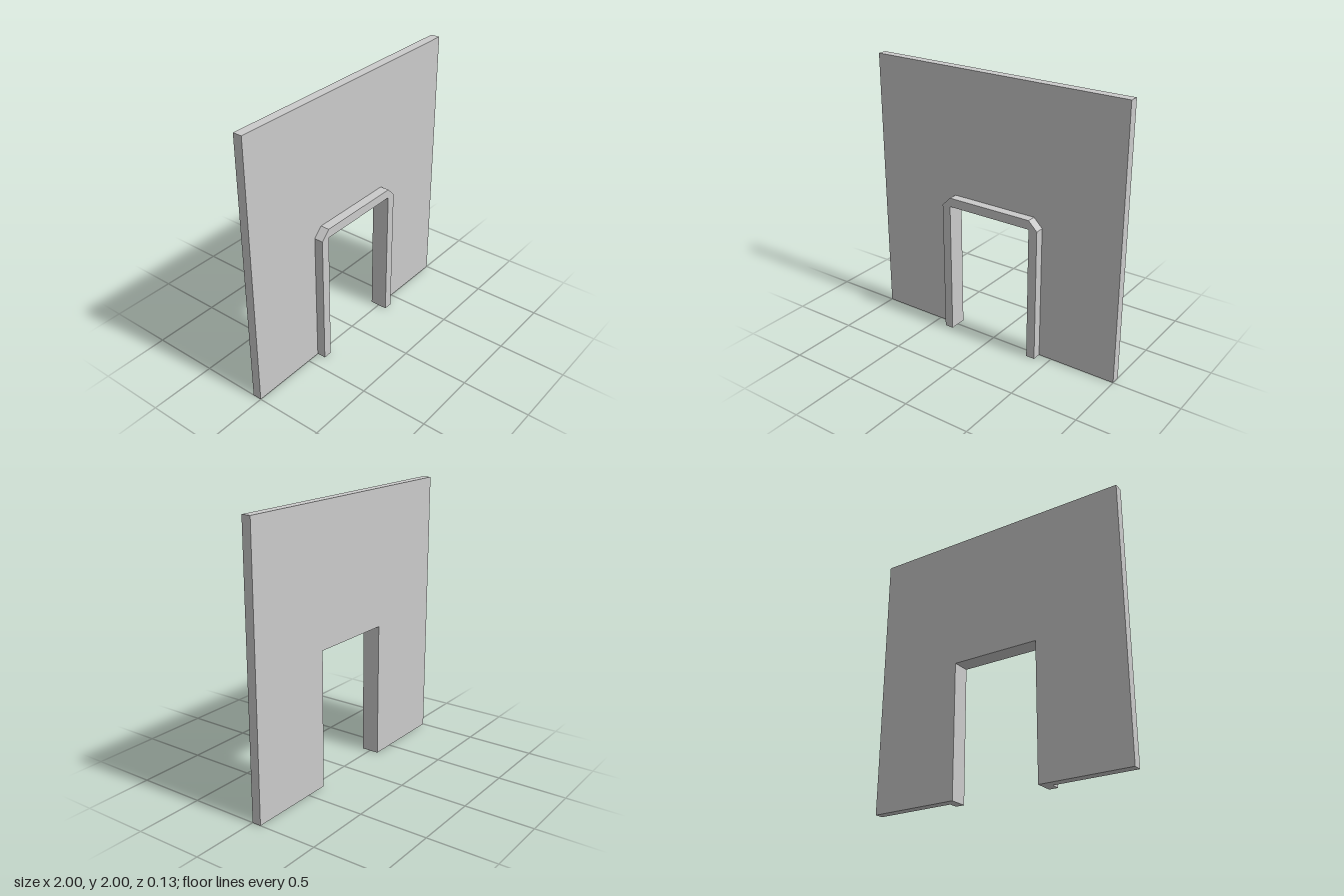
import * as THREE from 'three';

const T = 0.0667; // wall thickness, also trim width and depth
const W = 0.3333; // half width of the doorway
const H = 1.0;    // height of the doorway

// Extrudes an outline of [x, y] points from z to z + T
function slab(name, points, z) {
  const shape = new THREE.Shape(points.map(([x, y]) => new THREE.Vector2(x, y)));
  const geometry = new THREE.ExtrudeGeometry(shape, { depth: T, bevelEnabled: false });
  const mesh = new THREE.Mesh(geometry, new THREE.MeshStandardMaterial({ color: 0xcccccc }));
  mesh.name = name;
  mesh.position.z = z;
  return mesh;
}

export function createModel() {
  const group = new THREE.Group();
  group.name = 'wallWithDoorway';

  // Inner edge of the doorway, shared by wall and trim
  const opening = [[W, 0], [W, H], [-W, H], [-W, 0]];

  // Square wall with the doorway cut up from the floor
  group.add(slab('wall', [[-1, 0], [-1, 2], [1, 2], [1, 0], ...opening], -T));

  // Raised door trim with chamfered upper corners
  const outer = [[-W - T, 0], [-W - T, H], [-W, H + T], [W, H + T], [W + T, H], [W + T, 0]];
  group.add(slab('doorTrim', [...outer, ...opening], 0));

  return group;
}
